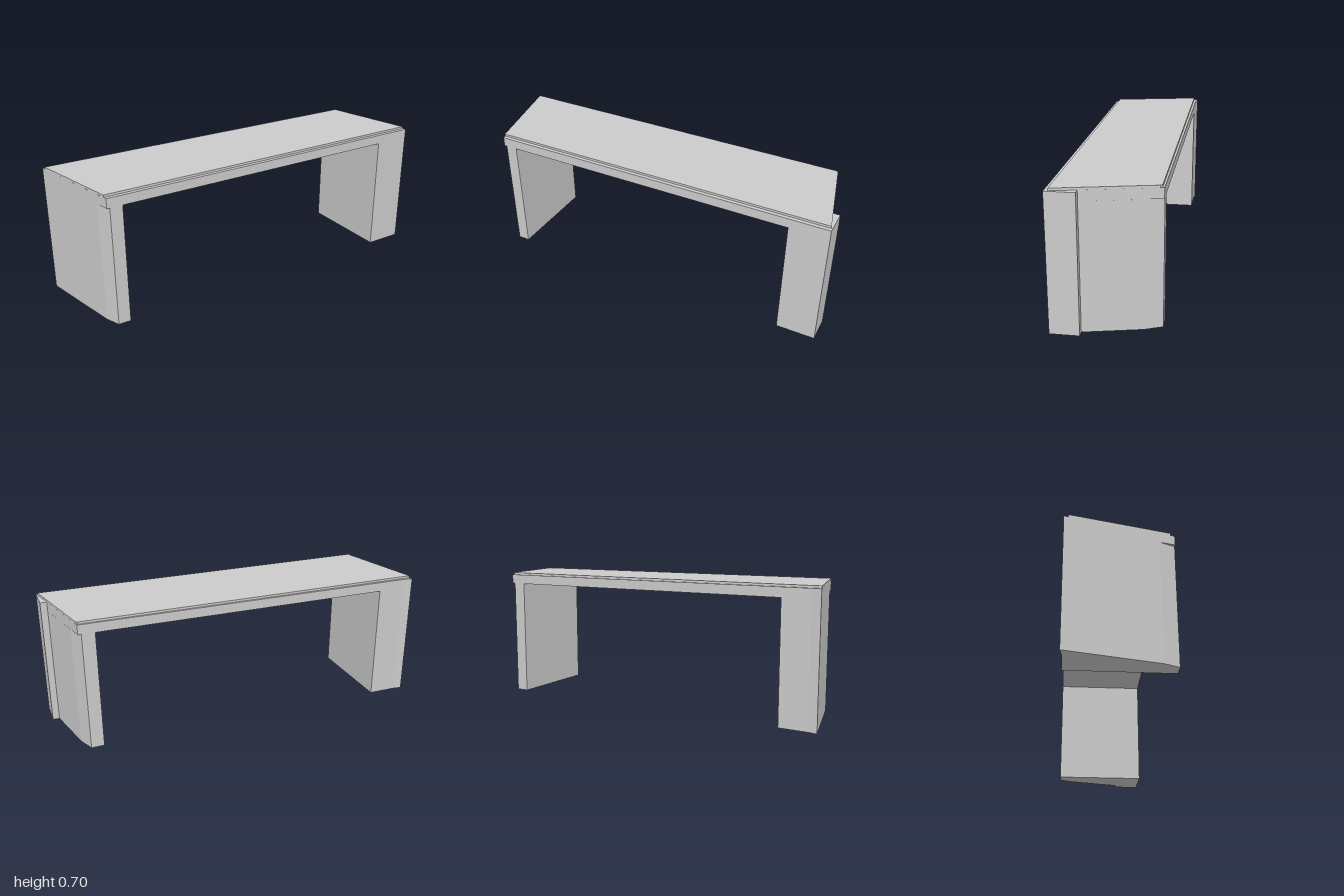
import * as THREE from 'three';

const material = new THREE.MeshStandardMaterial({ color: 0xcccccc, flatShading: true });

// Upright prism over a plan outline of [x, z] points, from y0 to y1
function prism(name, outline, y0, y1) {
  const shape = new THREE.Shape(outline.map(([x, z]) => new THREE.Vector2(x, -z)));
  const geometry = new THREE.ExtrudeGeometry(shape, { depth: y1 - y0, bevelEnabled: false });
  geometry.rotateX(-Math.PI / 2);
  geometry.translate(0, y0, 0);
  const mesh = new THREE.Mesh(geometry, material);
  mesh.name = name;
  return mesh;
}

export function createModel() {
  const group = new THREE.Group();
  group.name = 'bench';
  const underside = 0.637, step = 0.688, top = 0.7;

  // Skewed slab with a slight kink at its back left corner
  group.add(prism('slab', [
    [-0.88, 0.265], [0.998, 0.265], [0.88, -0.245], [-0.95, -0.257], [-1, -0.265],
  ], underside, step));

  // Thin raised top, set back from the front and back edges
  group.add(prism('raisedTop', [
    [-0.884, 0.245], [0.993, 0.245], [0.884, -0.227], [0.875, -0.236], [-0.995, -0.243],
  ], step, top));

  // Left leg: wide at the back, narrow and chamfered at the front
  group.add(prism('leftLeg', [
    [-0.8, 0.265], [-0.8, -0.256], [-0.95, -0.257], [-1, -0.265], [-0.897, 0.19], [-0.865, 0.265],
  ], 0, underside));

  // Right leg: wide at the front, narrow and chamfered at the back
  group.add(prism('rightLeg', [
    [0.795, 0.265], [0.998, 0.265], [0.965, 0.122], [0.9, -0.16], [0.863, -0.245], [0.795, -0.245],
  ], 0, underside));

  // Corner pier squaring off the outer front of the right leg
  group.add(prism('cornerPier', [
    [0.998, 0.265], [1, 0.265], [1, 0.122], [0.965, 0.122],
  ], 0, step));

  return group;
}
